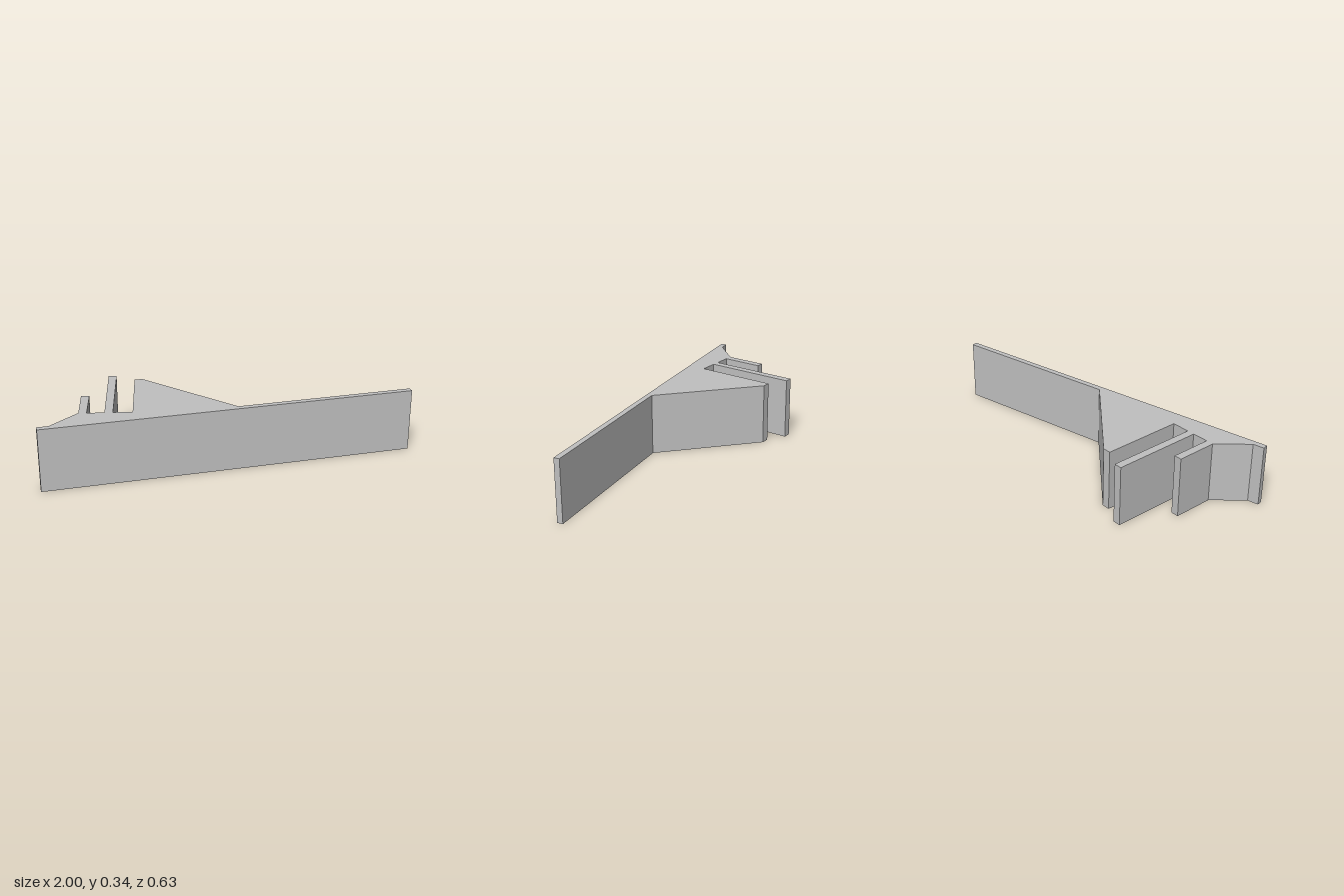
import * as THREE from 'three';

const HEIGHT = 0.343;

// Plan outline as [x, z] corners
const OUTLINE = [
  // long front plate
  [-1, 0.315], [1, 0.315], [1, 0.283],
  // wedge
  [0.04, 0.283], [-0.363, -0.22], [-0.408, -0.23], [-0.502, 0.214],
  // long fin
  [-0.601, 0.194], [-0.495, -0.306], [-0.538, -0.315], [-0.643, 0.185],
  // short fin
  [-0.732, 0.168], [-0.684, -0.057], [-0.727, -0.066], [-0.773, 0.158],
  // sloped end back to the plate
  [-0.938, 0.283], [-1, 0.283],
];

export function createModel() {
  const group = new THREE.Group();
  group.name = 'finnedBracket';

  const grey = new THREE.MeshStandardMaterial({ color: 0xc0c0c0 });
  grey.name = 'grey';

  // One solid profile, extruded upwards
  const shape = new THREE.Shape(OUTLINE.map(([x, z]) => new THREE.Vector2(x, -z)));
  const geometry = new THREE.ExtrudeGeometry(shape, { depth: HEIGHT, bevelEnabled: false });
  geometry.rotateX(-Math.PI / 2);

  const bracket = new THREE.Mesh(geometry, grey);
  bracket.name = 'bracketProfile';
  group.add(bracket);
  return group;
}
